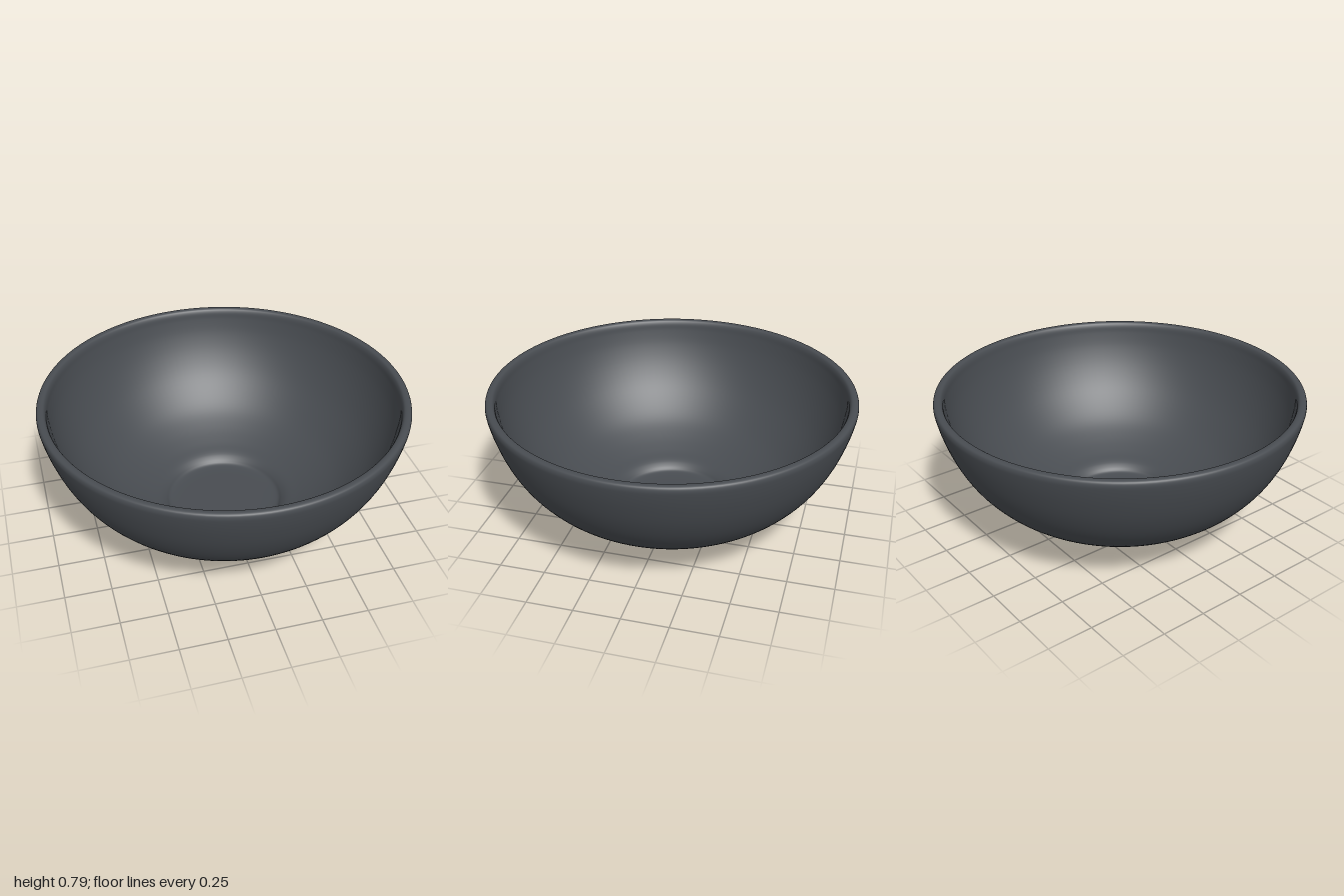
import * as THREE from 'three';

// Smooth a few [radius, height] points into a dense lathe profile
function smoothProfile(points, divisions) {
  const curve = new THREE.CatmullRomCurve3(
    points.map(([r, y]) => new THREE.Vector3(r, y, 0)), false, 'centripetal');
  return curve.getPoints(divisions).map((p) => new THREE.Vector2(Math.max(p.x, 0), Math.max(p.y, 0)));
}

export function createModel() {
  const group = new THREE.Group();
  group.name = 'bowl';

  const glaze = new THREE.MeshStandardMaterial({ color: 0x484c51 });

  // Underside, foot and outer wall, up to the rim
  const outside = [
    [0, 0.005], [0.15, 0.004], [0.29, 0.003], [0.35, 0.01], [0.38, 0.028],
    [0.4, 0.055], [0.44, 0.085], [0.51, 0.122], [0.6, 0.165], [0.69, 0.222],
    [0.78, 0.3], [0.865, 0.405], [0.93, 0.525], [0.975, 0.65], [0.997, 0.74],
  ];
  // Rounded rim
  const rim = [[1, 0.768], [0.994, 0.785], [0.978, 0.791], [0.96, 0.787], [0.95, 0.77]];
  // Inner wall, small step and sunken floor
  const inside = [
    [0.943, 0.73], [0.92, 0.64], [0.875, 0.53], [0.81, 0.42], [0.73, 0.325],
    [0.64, 0.245], [0.54, 0.185], [0.44, 0.14], [0.365, 0.112], [0.335, 0.092],
    [0.315, 0.073], [0.28, 0.065], [0.15, 0.063], [0, 0.063],
  ];

  const profile = smoothProfile([...outside, ...rim, ...inside], 140);
  const shell = new THREE.Mesh(new THREE.LatheGeometry(profile, 128), glaze);
  shell.name = 'bowlShell';
  group.add(shell);

  return group;
}
